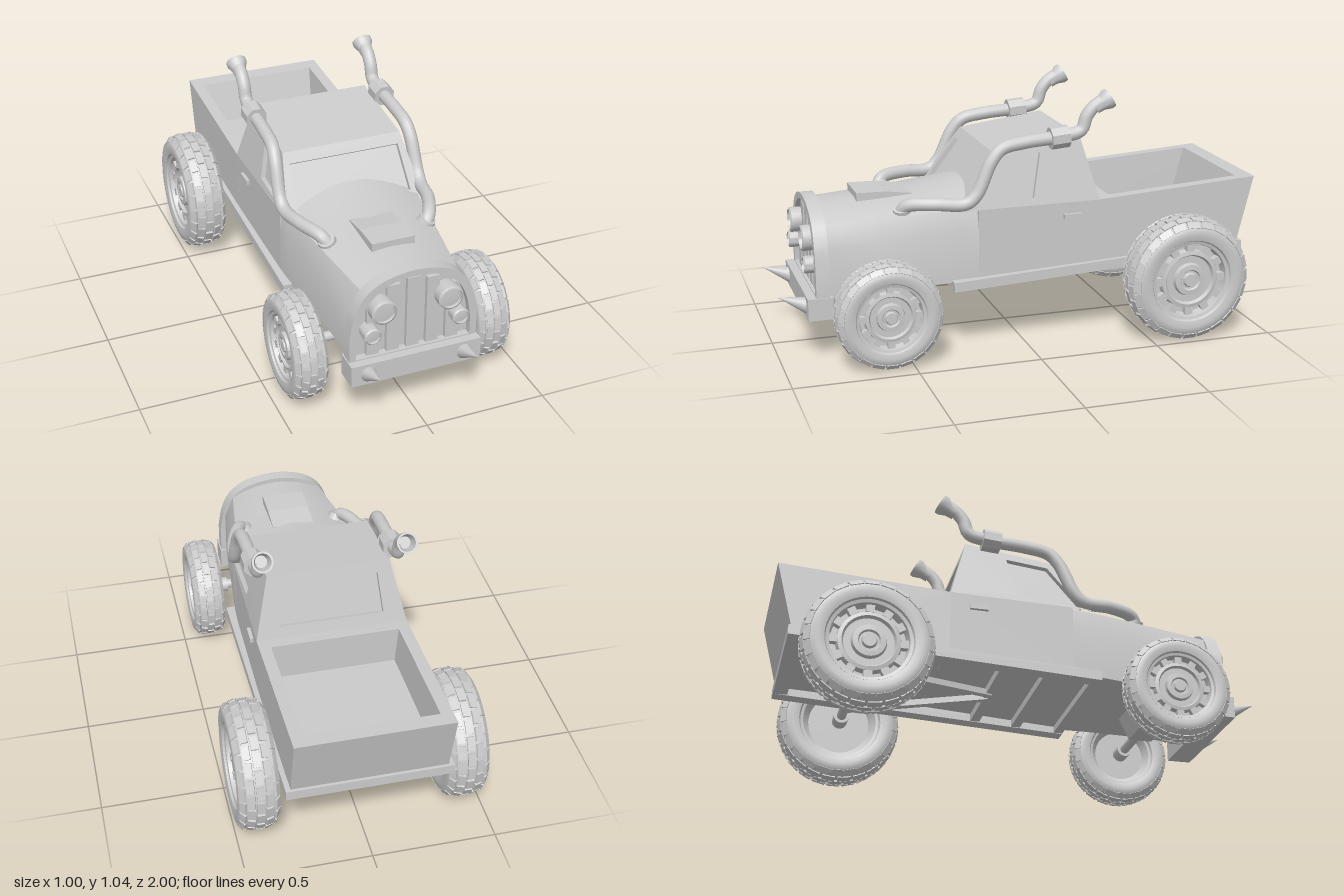
import * as THREE from 'three';
import { mergeGeometries, toCreasedNormals } from 'three/addons/utils/BufferGeometryUtils.js';

const grey = new THREE.MeshStandardMaterial({ color: 0xcccccc });
const V = (x, y, z) => new THREE.Vector3(x, y, z);

function part(parent, name, geo, x = 0, y = 0, z = 0) {
  const m = new THREE.Mesh(geo, grey);
  m.name = name;
  m.position.set(x, y, z);
  parent.add(m);
  return m;
}

// Skin through rings of points (counter-clockwise when looked at against the travel direction)
function loft(rings, capStart = true, capEnd = true, crease = 0.5) {
  const p = [];
  const tri = (...v) => v.forEach(q => p.push(q.x, q.y, q.z));
  const n = rings[0].length;
  for (let i = 0; i < rings.length - 1; i++)
    for (let j = 0; j < n; j++) {
      const k = (j + 1) % n, a = rings[i][j], b = rings[i][k], c = rings[i + 1][k], d = rings[i + 1][j];
      tri(a, b, c); tri(a, c, d);
    }
  const first = rings[0], last = rings[rings.length - 1];
  for (let j = 1; j < n - 1; j++) {
    if (capStart) tri(first[0], first[j + 1], first[j]);
    if (capEnd) tri(last[0], last[j], last[j + 1]);
  }
  const g = new THREE.BufferGeometry();
  g.setAttribute('position', new THREE.Float32BufferAttribute(p, 3));
  return toCreasedNormals(g, crease);
}

// Four-cornered panel with a recessed pane given in panel coordinates
function panel(c, hole, depth = 0.02) {
  const at = ([u, v]) => c[0].clone().lerp(c[1], u).lerp(c[3].clone().lerp(c[2], u), v);
  const normal = c[1].clone().sub(c[0]).cross(c[3].clone().sub(c[0])).normalize();
  const inner = hole.map(at);
  return loft([c, inner, inner.map(q => q.clone().addScaledVector(normal, -depth))], false, true, 0.2);
}

// Box section or round bar between two points
function bar(parent, name, a, b, w, h) {
  const m = part(parent, name, new THREE.BoxGeometry(w, h, a.distanceTo(b)));
  m.position.copy(a).lerp(b, 0.5);
  m.lookAt(b);
}
const lathe = (pts, seg, crease = 0.5) =>
  toCreasedNormals(new THREE.LatheGeometry(pts.map(q => new THREE.Vector2(q[0], q[1])), seg), crease);

// Wheel turning about x with its outer face toward +x
function wheel(R, w, count) {
  const g = new THREE.Group();
  const side = [[0.64, 0.75], [0.67, 0.92], [0.77, 1], [0.87, 0.95], [0.94, 0.75], [0.97, 0.4]];
  const tyre = [...side.map(([r, u]) => [r * R, -u * w]), ...side.slice().reverse().map(([r, u]) => [r * R, u * w])];
  part(g, 'tyre', lathe(tyre, 48, 0.6).rotateZ(-Math.PI / 2));
  const rim = [[0, -0.3], [0.5, -0.3], [0.6, -0.75], [0.65, -0.78], [0.66, 0], [0.65, 0.82], [0.6, 0.78], [0.57, 0.3],
    [0.49, 0.3], [0.47, 0.62], [0.41, 0.66], [0.38, 0.5], [0.27, 0.5], [0.25, 0.7], [0.17, 0.72], [0.15, 0.62], [0.12, 0.62], [0.1, 0.75], [0, 0.75]];
  part(g, 'rim', lathe(rim.map(([r, u]) => [r * R, u * w]), 40).rotateZ(-Math.PI / 2));
  // tread blocks: crown rows, shoulder rows, and spokes round the rim
  const blocks = [], spokes = [];
  const rows = [[-0.78, 0.905, 0.9], [-0.42, 0.955, 0.3], [0, 0.965, 0], [0.42, 0.955, -0.3], [0.78, 0.905, -0.9]];
  rows.forEach(([u, r, tilt], k) => {
    for (let i = 0; i < count; i++)
      blocks.push(new THREE.BoxGeometry(w * 0.35, R * 0.065, R * 5.0 / count).rotateZ(tilt)
        .translate(u * w, r * R, 0).rotateX((i + (k % 2) / 2) / count * Math.PI * 2));
  });
  for (let i = 0; i < 12; i++)
    spokes.push(new THREE.BoxGeometry(w * 0.5, R * 0.13, R * 0.13).translate(w * 0.38, R * 0.535, 0).rotateX(i * Math.PI / 6));
  part(g, 'treadBlocks', mergeGeometries(blocks));
  part(g, 'wheelSpokes', mergeGeometries(spokes));
  return g;
}

// Arched outline of the grille, shrunk by t
function arch(t, base, Type) {
  const half = [[0.265, 0.37], [0.245, 0.47], [0.2, 0.55], [0.12, 0.6]].map(([x, y]) => new THREE.Vector2(x - t, y - t * 0.7));
  const s = new Type();
  s.moveTo(-0.265 + t, base);
  s.lineTo(0.265 - t, base);
  s.lineTo(half[0].x, half[0].y);
  s.splineThru([...half.slice(1), new THREE.Vector2(0, 0.62 - t), ...half.slice(1).reverse().map(q => new THREE.Vector2(-q.x, q.y)),
    new THREE.Vector2(-half[0].x, half[0].y)]);
  return s;
}

export function createModel() {
  const car = new THREE.Group();
  car.name = 'pickupTruck';

  // Hood: z, half width, bottom, shoulder, crease half width, crease height, crown
  const hood = [[0.2, 0.3, 0.29, 0.5, 0.28, 0.58, 0.655], [0.28, 0.295, 0.285, 0.5, 0.272, 0.58, 0.638], [0.42, 0.28, 0.28, 0.49, 0.255, 0.572, 0.618],
    [0.6, 0.262, 0.27, 0.47, 0.23, 0.56, 0.608], [0.81, 0.24, 0.25, 0.45, 0.2, 0.545, 0.6]];
  part(car, 'hood', loft(hood.map(([z, w, yb, ys, wc, yc, top]) => {
    const ring = [V(w, yb, z), V(w, ys, z)];
    for (let i = 0; i <= 12; i++) {
      const t = 1 - i / 6;
      ring.push(V(wc * t, yc + (top - yc) * (1 - t * t), z));
    }
    return [...ring, V(-w, ys, z), V(-w, yb, z)];
  })));
  const scoop = new THREE.Shape([[0.42, 0.59], [0.65, 0.59], [0.65, 0.632], [0.53, 0.63], [0.42, 0.615]].map(q => new THREE.Vector2(...q)));
  part(car, 'hoodScoop', new THREE.ExtrudeGeometry(scoop, { depth: 0.18, bevelEnabled: false }).rotateY(-Math.PI / 2), 0.09);

  // Lower cabin
  const box = (z, w, y0, y1) => [V(w, y0, z), V(w, y1, z), V(-w, y1, z), V(-w, y0, z)];
  part(car, 'lowerCabin', loft([box(-0.32, 0.31, 0.325, 0.585), box(0.2, 0.3, 0.29, 0.58)]));

  // Upper cabin
  const cab = new THREE.Group();
  cab.name = 'cab';
  car.add(cab);
  const FB = s => V(s * 0.298, 0.575, 0.28), RB = s => V(s * 0.31, 0.585, -0.31);
  const RT = s => V(s * 0.25, 0.845, -0.24), FT = s => V(s * 0.255, 0.795, 0.12);
  part(cab, 'windscreen', panel([FB(-1), FB(1), FT(1), FT(-1)], [[0.08, 0.1], [0.92, 0.1], [0.95, 0.82], [0.05, 0.82]]));
  part(cab, 'rearWindow', panel([RB(1), RB(-1), RT(-1), RT(1)], [[0.14, 0.18], [0.86, 0.18], [0.88, 0.83], [0.12, 0.83]]));
  part(cab, 'roof', loft([[FT(1), RT(1), RT(-1), FT(-1)], [FT(1), RT(1), RT(-1), FT(-1)]], false, true));
  const win = [[0.06, 0.04], [0.52, 0.13], [0.54, 0.86], [0.1, 0.86]];
  part(cab, 'leftDoorWindow', panel([FB(1), RB(1), RT(1), FT(1)], win));
  part(cab, 'rightDoorWindow', panel([RB(-1), FB(-1), FT(-1), RT(-1)], [1, 0, 3, 2].map(i => [1 - win[i][0], win[i][1]])));

  // Cargo bed: outer wall, rim, inner wall, floor
  const ring = (w, zf, yf, zr, yr) => [V(w, yf, zf), V(w, yr, zr), V(-w, yr, zr), V(-w, yf, zf)];
  part(car, 'cargoBed', loft([ring(0.31, -0.31, 0.325, -0.93, 0.35), ring(0.31, -0.31, 0.585, -1, 0.63),
    ring(0.262, -0.365, 0.589, -0.935, 0.626), ring(0.25, -0.365, 0.43, -0.88, 0.45)]));

  // Grille with slats
  const shell = arch(0, 0.25, THREE.Shape);
  shell.holes.push(arch(0.028, 0.27, THREE.Path));
  part(car, 'grilleShell', toCreasedNormals(new THREE.ExtrudeGeometry(shell, { depth: 0.055, bevelEnabled: false }), 0.5), 0, 0, 0.8);
  part(car, 'grillePanel', new THREE.ExtrudeGeometry(arch(0.01, 0.26, THREE.Shape), { depth: 0.02, bevelEnabled: false }), 0, 0, 0.805);
  for (let i = -2; i <= 2; i++) {
    const h = 0.31 - 0.025 * i * i * 0.6;
    part(car, 'grilleSlat', new THREE.BoxGeometry(0.052, h, 0.02), i * 0.082, 0.27 + h / 2, 0.833);
  }

  // Bumpers
  part(car, 'frontBumper', new THREE.BoxGeometry(0.54, 0.09, 0.1), 0, 0.22, 0.84);
  part(car, 'rearBumper', new THREE.BoxGeometry(0.66, 0.04, 0.06), 0, 0.34, -0.915);

  // Chassis frame
  const railY = z => 0.291 - z * 0.052;
  for (const s of [-1, 1]) {
    bar(car, 'frameRail', V(s * 0.3, railY(0.31), 0.31), V(s * 0.3, railY(-0.94), -0.94), 0.06, 0.04);
    bar(car, 'rearStrut', V(s * 0.22, 0.26, -0.64), V(s * 0.02, 0.285, -0.08), 0.03, 0.025);
  }
  for (const z of [0.29, 0.1, -0.08])
    part(car, 'crossMember', new THREE.BoxGeometry(0.58, 0.035, 0.04), 0, railY(z), z);

  // Axles and wheels
  for (const [name, z, R, w, x, n] of [['front', 0.595, 0.215, 0.069, 0.388, 22], ['rear', -0.65, 0.258, 0.083, 0.417, 24]]) {
    part(car, name + 'Axle', new THREE.CylinderGeometry(0.02, 0.02, x * 2, 16).rotateZ(Math.PI / 2), 0, R, z);
    part(car, name + 'Differential', loft([
      ring(0.07, z + 0.05, R - 0.04, z - 0.05, R - 0.04), ring(0.1, z + 0.09, R + 0.08, z - 0.09, R + 0.08)]));
    for (const s of [-1, 1]) {
      part(car, name + 'AxleCollar', new THREE.CylinderGeometry(0.032, 0.032, 0.07, 20).rotateZ(Math.PI / 2), s * (x - w - 0.005), R, z);
      const g = wheel(R, w, n);
      g.name = name + (s > 0 ? 'LeftWheel' : 'RightWheel');
      g.position.set(s * x, R, z);
      if (s < 0) g.rotation.y = Math.PI;
      car.add(g);
    }
  }

  // Paired details
  const lamp = r => lathe([[0, -0.04], [r * 0.95, -0.04], [r, -0.01], [r, 0.02], [r * 0.84, 0.025], [r * 0.82, 0.012], [0, 0.016]], 28).rotateX(Math.PI / 2);
  for (const s of [-1, 1]) {
    part(car, 'headlight', lamp(0.052), s * 0.137, 0.48, 0.865);
    part(car, 'lowerLamp', lamp(0.035), s * 0.182, 0.383, 0.865);
    const spike = part(car, 'bumperSpike', new THREE.ConeGeometry(0.034, 0.13, 20), s * 0.2, 0.242, 0.939);
    spike.rotation.x = Math.PI / 2 - 0.36;
    part(car, 'doorHandle', new THREE.BoxGeometry(0.02, 0.02, 0.075), s * 0.312, 0.527, -0.193);

    // Exhaust stack
    const path = [[0.205, 0.57, 0.5], [0.23, 0.603, 0.475], [0.275, 0.612, 0.37], [0.297, 0.61, 0.25], [0.3, 0.645, 0.208], [0.295, 0.775, 0.145],
      [0.29, 0.822, 0.1], [0.287, 0.842, 0], [0.285, 0.856, -0.17], [0.285, 0.875, -0.235], [0.285, 0.93, -0.257], [0.285, 0.965, -0.285], [0.285, 0.988, -0.32]];
    const curve = new THREE.CatmullRomCurve3(path.map(([x, y, z]) => V(s * x, y, z)));
    part(car, 'exhaustPipe', new THREE.TubeGeometry(curve, 70, 0.027, 14));
    const foot = part(car, 'exhaustFlange', new THREE.CylinderGeometry(0.034, 0.04, 0.03, 16), s * 0.212, 0.582, 0.492);
    foot.rotation.set(0.3, 0, -s * 0.4);
    const clamp = part(car, 'exhaustClamp', new THREE.CylinderGeometry(0.046, 0.046, 0.075, 8).toNonIndexed(), s * 0.285, 0.852, -0.14);
    clamp.geometry = toCreasedNormals(clamp.geometry, 0.3);
    clamp.rotation.set(-Math.PI / 2 + 0.08, Math.PI / 8, 0, 'XYZ');
    const flare = part(car, 'exhaustFlare', lathe([[0.026, -0.06], [0.029, -0.03], [0.042, 0], [0.042, 0.014], [0.034, 0.014], [0.024, -0.03], [0, -0.03]], 24),
      s * 0.285, 0.992, -0.343);
    flare.rotation.x = -1.02;
  }
  return car;
}
